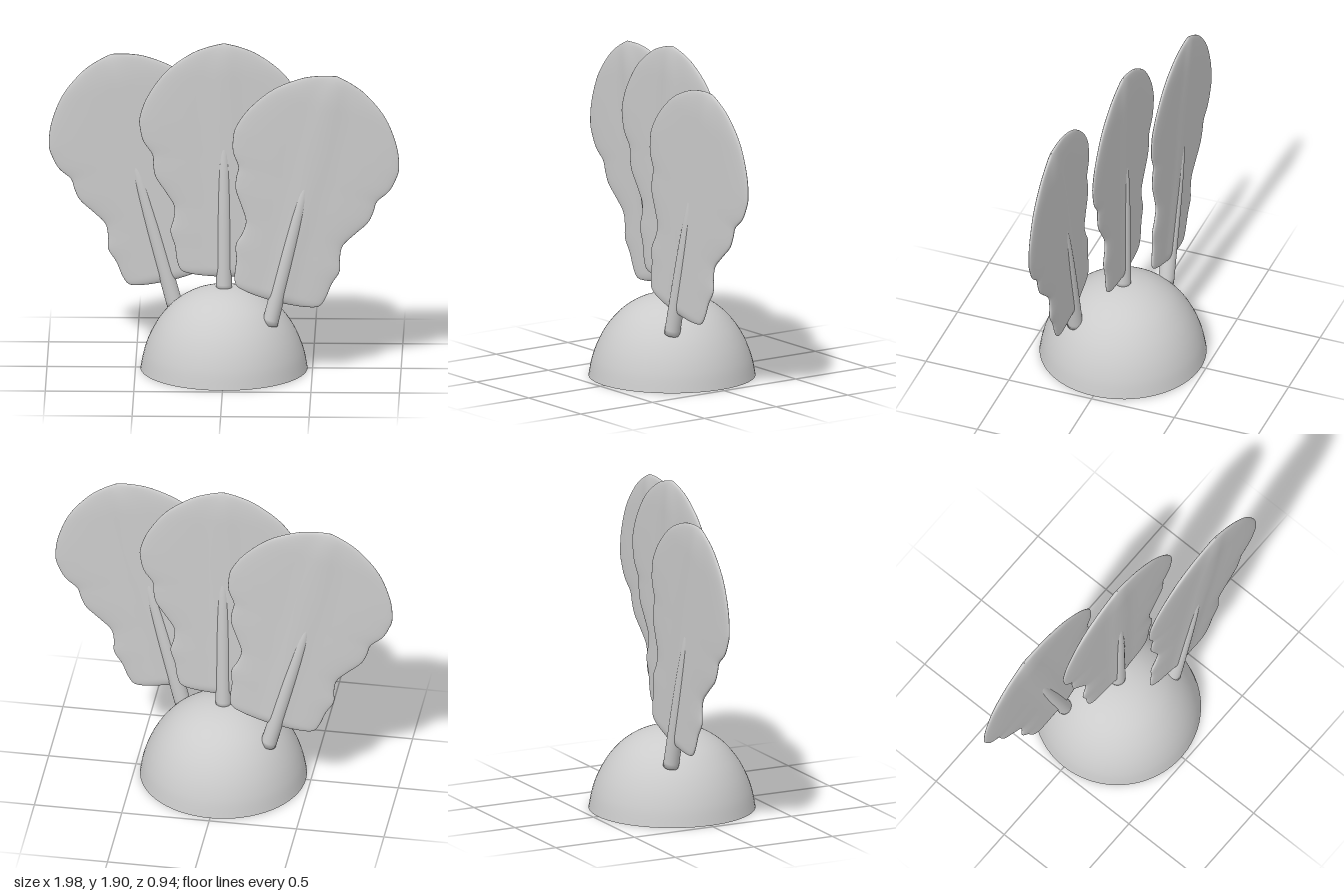
import * as THREE from 'three';

const grey = new THREE.MeshStandardMaterial({ color: 0xcccccc, side: THREE.DoubleSide });

function add(parent, name, geometry) {
  const mesh = new THREE.Mesh(geometry, grey);
  mesh.name = name;
  parent.add(mesh);
  return mesh;
}

const spline2 = (pts) => new THREE.SplineCurve(pts.map(([x, y]) => new THREE.Vector2(x, y)));

// Half outline of a leaf: [half width, height relative to its tip]
const halfOutline = spline2([
  [0, 0], [0.1, -0.025], [0.2, -0.07], [0.33, -0.17], [0.43, -0.31], [0.475, -0.43],
  [0.475, -0.5], [0.455, -0.58], [0.405, -0.655], [0.4, -0.72], [0.385, -0.79], [0.33, -0.875],
  [0.283, -0.955], [0.285, -1.03], [0.303, -1.105], [0.278, -1.19], [0.265, -1.28],
  [0.24, -1.335], [0.17, -1.357], [0.08, -1.367], [0, -1.371],
]);

// Thin pillowed leaf lofted from flattened cross-sections, tip at the origin
function leafGeometry() {
  const rows = 100, around = 64;
  const positions = [], index = [];
  const ease = (d) => Math.sqrt(1 - (1 - Math.min(1, Math.max(0, d))) ** 2);
  const power = (v, e) => Math.sign(v) * Math.abs(v) ** e;
  for (let j = 0; j <= rows; j++) {
    const p = halfOutline.getPoint(j / rows);
    const fade = ease(-p.y / 0.2) * ease((p.y + 1.371) / 0.06);
    for (let i = 0; i < around; i++) {
      const a = (i / around) * Math.PI * 2;
      const x = Math.max(0, p.x) * power(Math.cos(a), 0.8);
      // soft midrib swelling along the centre line
      const rib = 0.009 * Math.exp(-((x / 0.06) ** 2));
      positions.push(x, p.y, fade * (0.021 + rib) * power(Math.sin(a), 0.7));
    }
  }
  for (let j = 0; j < rows; j++) {
    for (let i = 0; i < around; i++) {
      const p = j * around + i, pa = j * around + ((i + 1) % around);
      const q = p + around, qa = pa + around;
      index.push(p, pa, q, pa, qa, q);
    }
  }
  const g = new THREE.BufferGeometry();
  g.setAttribute('position', new THREE.Float32BufferAttribute(positions, 3));
  g.setIndex(index);
  g.computeVertexNormals();
  return g;
}

// Tapering stem of the given length, base at the origin
function stemGeometry(length) {
  const profile = spline2([
    [0.045, 0], [0.044, 0.25], [0.042, 0.5], [0.037, 0.72], [0.029, 0.86], [0.015, 0.96], [0, 1],
  ]).getPoints(30).map((p) => new THREE.Vector2(Math.max(0, p.x), p.y * length));
  profile.unshift(new THREE.Vector2(0, 0));
  return new THREE.LatheGeometry(profile, 24);
}

export function createModel() {
  const model = new THREE.Group();
  model.name = 'leafyDome';

  // Open dome
  const domeProfile = spline2([
    [0.472, 0], [0.452, 0.1], [0.415, 0.2], [0.36, 0.293], [0.285, 0.375],
    [0.19, 0.436], [0.09, 0.468], [0, 0.475],
  ]).getPoints(40);
  add(model, 'dome', new THREE.LatheGeometry(domeProfile, 64));

  // Three leaves fanned out at staggered depths, each with its stem
  const leaf = leafGeometry();
  const plants = [
    { name: 'right', side: -1, tip: [-0.64, 1.795], z: -0.153, stem: [[-0.28, 0.32], [-0.53, 1.245]] },
    { name: 'centre', side: 0, tip: [0, 1.905], z: 0, stem: [[0, 0.46], [0, 1.435]] },
    { name: 'left', side: 1, tip: [0.64, 1.77], z: 0.19, stem: [[0.262, 0.31], [0.49, 1.24]] },
  ];
  for (const { name, side, tip, z, stem: [base, top] } of plants) {
    const group = new THREE.Group();
    group.name = name + 'Plant';
    group.position.z = z;
    model.add(group);

    const blade = add(group, name + 'Leaf', leaf);
    blade.position.set(tip[0], tip[1], 0);
    blade.rotation.z = -side * THREE.MathUtils.degToRad(14.5);

    const dx = top[0] - base[0], dy = top[1] - base[1];
    const stalk = add(group, name + 'Stem', stemGeometry(Math.hypot(dx, dy)));
    stalk.position.set(base[0], base[1], 0);
    stalk.rotation.z = -Math.atan2(dx, dy);
  }
  return model;
}
